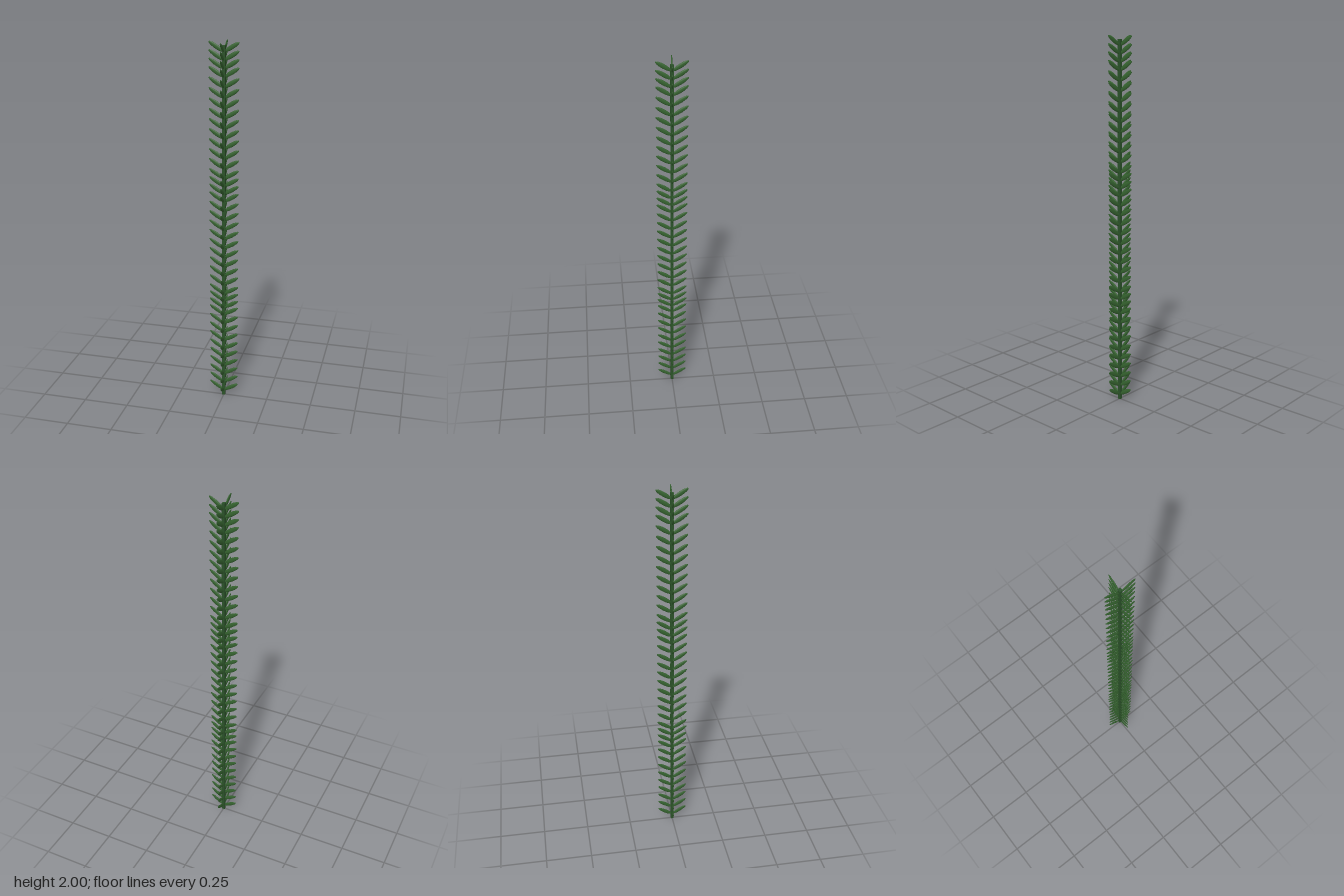
import * as THREE from 'three';

export function createModel() {
  const group = new THREE.Group();
  const stemMaterial = new THREE.MeshStandardMaterial({ color: 0x2b5229 });
  const leafMaterial = new THREE.MeshStandardMaterial({ color: 0x35632f });

  // Square stem
  const stemHeight = 1.98;
  const stem = new THREE.Mesh(new THREE.BoxGeometry(0.016, stemHeight, 0.016), stemMaterial);
  stem.name = 'stem';
  stem.position.y = stemHeight / 2;
  group.add(stem);

  // One flat oval leaf, standing on edge and rising outward along +x
  const leafGeometry = new THREE.SphereGeometry(1, 10, 8);
  leafGeometry.rotateZ(-Math.PI / 2);
  leafGeometry.scale(0.0465, 0.0115, 0.0043);
  leafGeometry.rotateZ(THREE.MathUtils.degToRad(32));
  leafGeometry.translate(0.0415, 0, 0);

  // Turn of each leaf in a whorl: the side pair is slightly skewed
  const skew = -0.065;
  const turns = [skew, Math.PI / 2, Math.PI + skew, -Math.PI / 2];

  // Three equal lengths of stem, each with 13 whorls that crowd together at its top
  for (let section = 0; section < 3; section++) {
    const branch = new THREE.Group();
    branch.name = `leafSection${section + 1}`;
    branch.position.y = 0.054 + section * 0.658;
    for (let i = 0; i < 13; i++) {
      const whorl = new THREE.Group();
      whorl.name = 'leafWhorl';
      whorl.position.y = Math.min(i, 9) * 0.053 + Math.max(i - 9, 0) * 0.042;
      for (const turn of turns) {
        const leaf = new THREE.Mesh(leafGeometry, leafMaterial);
        leaf.name = 'leaf';
        leaf.rotation.y = turn;
        whorl.add(leaf);
      }
      branch.add(whorl);
    }
    group.add(branch);
  }
  return group;
}
